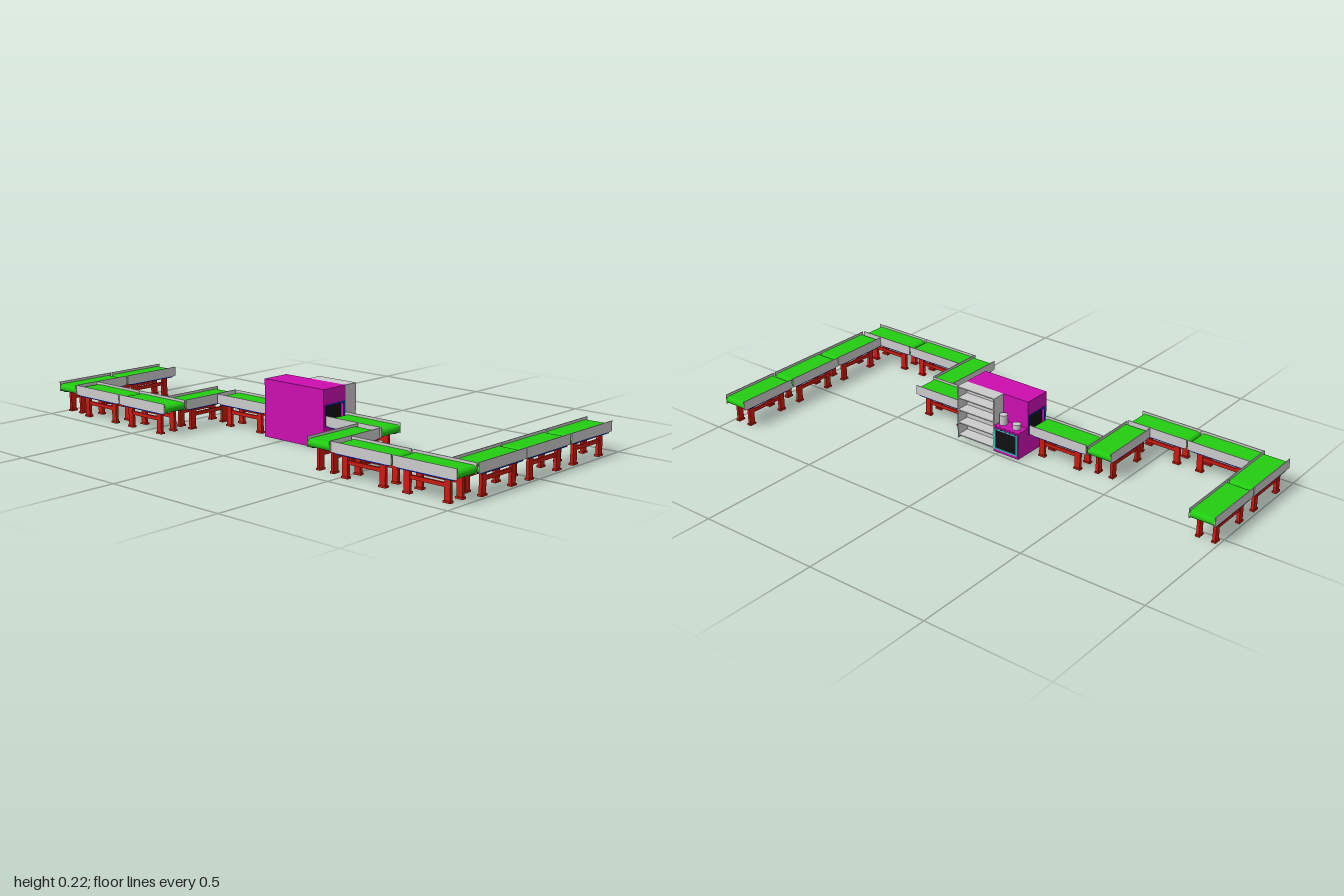
import * as THREE from 'three';

const mat = (color) => new THREE.MeshStandardMaterial({ color });
const grey = mat(0xcccccc), green = mat(0x22cc11), red = mat(0xcc1a10);
const magenta = mat(0xcc0eb0), blue = mat(0x1030b0), cyan = mat(0x30c0c0), black = mat(0x111111);

// Box given by its min and max on each axis
function box(parent, name, material, x0, x1, y0, y1, z0, z1) {
  const m = new THREE.Mesh(new THREE.BoxGeometry(x1 - x0, y1 - y0, z1 - z0), material);
  m.position.set((x0 + x1) / 2, (y0 + y1) / 2, (z0 + z1) / 2);
  m.name = name;
  parent.add(m);
  return m;
}

// Prism along z from a shape, starting at z0
function prism(parent, name, material, shape, z0, depth) {
  const g = new THREE.ExtrudeGeometry(shape, { depth, bevelEnabled: false, curveSegments: 8 });
  const m = new THREE.Mesh(g, material);
  m.position.z = z0;
  m.name = name;
  parent.add(m);
  return m;
}

const polygon = (pts) => new THREE.Shape(pts.map(([x, y]) => new THREE.Vector2(x, y)));

function rectangle(x0, x1, y0, y1) {
  return polygon([[x0, y0], [x1, y0], [x1, y1], [x0, y1]]);
}

// Rectangular ring facing +z
function frame(parent, name, material, x0, x1, y0, y1, t, z0, depth) {
  const s = rectangle(x0, x1, y0, y1);
  s.holes.push(rectangle(x0 + t, x1 - t, y0 + t, y1 - t));
  return prism(parent, name, material, s, z0, depth);
}

// One conveyor section, running along x
function conveyor() {
  const g = new THREE.Group();
  g.name = 'conveyor';
  const L = 0.13, r = 0.0145, cy = 0.099;

  // Belt loop with round ends
  const loop = new THREE.Shape();
  loop.moveTo(-L + r, cy - r);
  loop.lineTo(L - r, cy - r);
  loop.absarc(L - r, cy, r, -Math.PI / 2, Math.PI / 2, false);
  loop.lineTo(-L + r, cy + r);
  loop.absarc(-L + r, cy, r, Math.PI / 2, Math.PI * 1.5, false);
  prism(g, 'belt', green, loop, -0.049, 0.098);

  for (const s of [-1, 1]) {
    const z = s * 0.0508;
    box(g, 'sideWall', grey, -L, L, 0.085, 0.123, z - 0.0017, z + 0.0017);
    // Tapered rail under each wall
    const rail = polygon([[-0.112, 0.08], [0.112, 0.08], [0.122, 0.0855], [-0.122, 0.0855]]);
    prism(g, 'underRail', blue, rail, s * 0.044 - 0.006, 0.012);
    const lz = s * 0.032;
    for (const lx of [-0.082, 0.082]) {
      box(g, 'leg', red, lx - 0.012, lx + 0.012, 0.006, 0.086, lz - 0.006, lz + 0.006);
      box(g, 'foot', red, lx - 0.015, lx + 0.015, 0, 0.007, lz - 0.009, lz + 0.009);
    }
    box(g, 'legBar', red, -0.082, 0.082, 0.05, 0.064, lz - 0.004, lz + 0.004);
  }
  return g;
}

// Scanning machine with an entrance at each end
function machine() {
  const g = new THREE.Group();
  g.name = 'machine';
  const body = rectangle(-0.193, -0.076, 0, 0.221);
  body.holes.push(rectangle(-0.182, -0.085, 0.085, 0.158));
  prism(g, 'machineBody', magenta, body, -0.096, 0.297);
  box(g, 'curtain', black, -0.183, -0.084, 0.084, 0.159, -0.084, 0.189);
  for (const z of [-0.098, 0.199])
    frame(g, 'entranceFrame', blue, -0.186, -0.081, 0.081, 0.163, 0.006, z, 0.004);
  return g;
}

// Open shelf unit facing +x
function shelfUnit() {
  const g = new THREE.Group();
  g.name = 'shelfUnit';
  const x0 = -0.076, x1 = -0.018;
  box(g, 'shelfBack', grey, x0, x0 + 0.004, 0, 0.221, 0.021, 0.201);
  for (const z of [0.021, 0.197]) box(g, 'shelfSide', grey, x0, x1, 0, 0.221, z, z + 0.004);
  for (const y of [0.011, 0.064, 0.119, 0.17, 0.217])
    box(g, 'shelf', grey, x0, x1, y, y + 0.004, 0.022, 0.2);
  return g;
}

// Console with a screen on its +x face and controls on top
function console_() {
  const g = new THREE.Group();
  g.name = 'controlConsole';
  box(g, 'consoleBody', magenta, -0.078, -0.017, 0, 0.11, -0.096, 0.02);
  const screen = new THREE.Group();
  screen.name = 'screen';
  frame(screen, 'screenFrame', cyan, -0.055, 0.055, 0.012, 0.102, 0.007, 0, 0.004);
  box(screen, 'screenPanel', black, -0.05, 0.05, 0.017, 0.097, -0.001, 0.002);
  screen.rotation.y = Math.PI / 2;
  screen.position.set(-0.018, 0, -0.037);
  g.add(screen);
  for (const [z, h] of [[0, 0.04], [-0.063, 0.02]]) {
    const c = new THREE.Mesh(new THREE.CylinderGeometry(0.016, 0.016, h, 20), grey);
    c.position.set(-0.05, 0.11 + h / 2, z);
    c.name = 'dial';
    g.add(c);
  }
  for (let i = 0; i < 5; i++) {
    const k = new THREE.Mesh(new THREE.CylinderGeometry(0.005, 0.005, 0.012, 10), magenta);
    k.rotation.z = Math.PI / 2;
    k.position.set(-0.014, 0.106, -0.085 + i * 0.022);
    k.name = 'knob';
    g.add(k);
  }
  return g;
}

export function createModel() {
  const model = new THREE.Group();
  model.name = 'conveyorLine';

  // Section centres: x, z, and whether it runs along z
  const sections = [
    [-0.322, -0.948, 0], [-0.055, -0.948, 0],
    [-0.397, -0.765, 1], [-0.397, -0.501, 1],
    [-0.21, -0.421, 0], [-0.132, -0.232, 1],
    [-0.132, 0.335, 1], [-0.322, 0.413, 0],
    [-0.397, 0.6, 1], [-0.397, 0.865, 1],
    [-0.21, 0.947, 0], [0.053, 0.947, 0], [0.32, 0.947, 0],
  ];
  for (const [x, z, turned] of sections) {
    const c = conveyor();
    c.position.set(x, 0, z);
    c.rotation.y = turned ? Math.PI / 2 : 0;
    model.add(c);
  }

  model.add(machine(), shelfUnit(), console_());
  return model;
}
